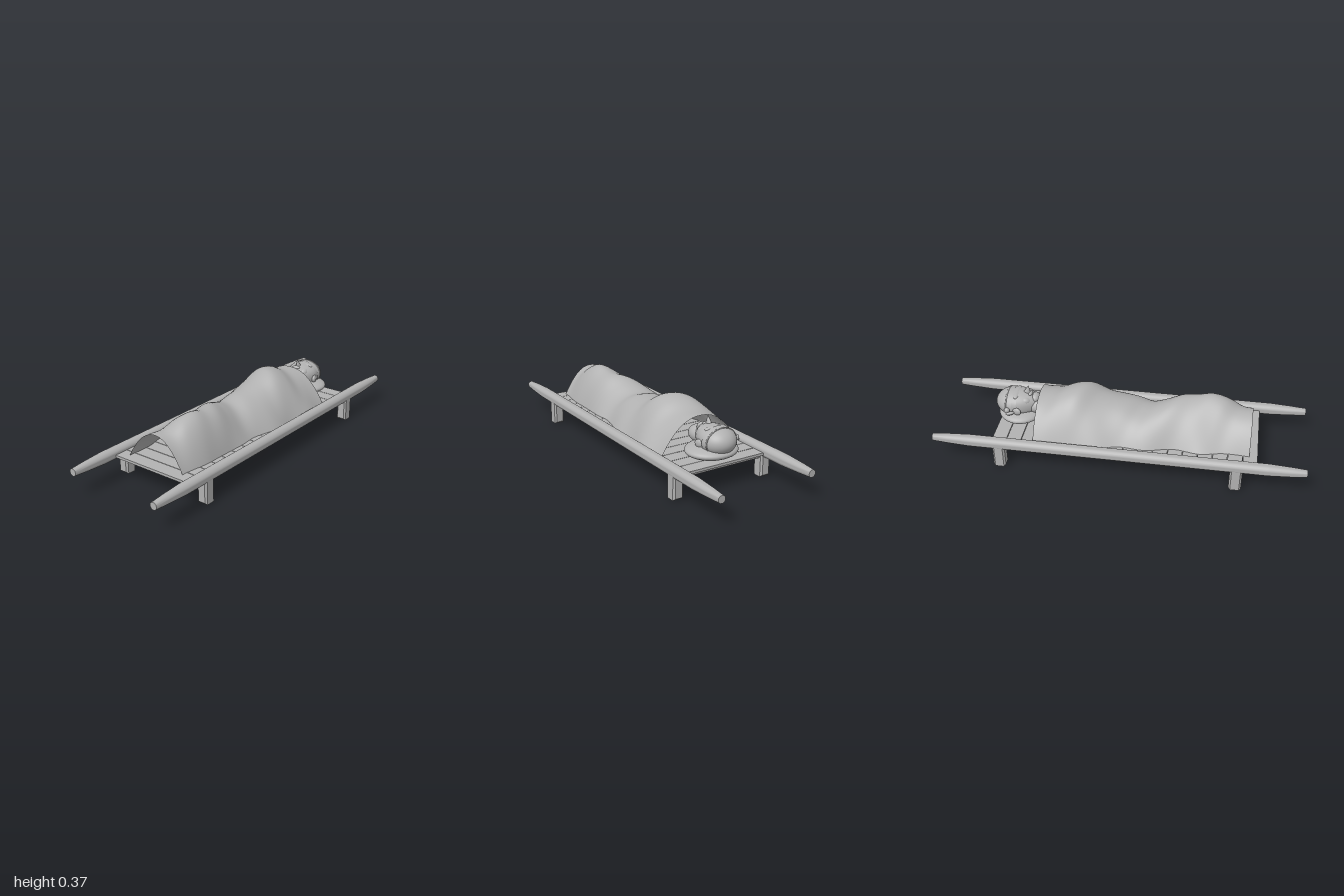
import * as THREE from 'three';
import { toCreasedNormals } from 'three/addons/utils/BufferGeometryUtils.js';

export function createModel() {
  const root = new THREE.Group();
  root.name = 'stretcher';
  const grey = new THREE.MeshStandardMaterial({ color: 0xb2b2b2, side: THREE.DoubleSide });
  grey.name = 'plain grey';

  function add(name, geo, x = 0, y = 0, z = 0, parent = root) {
    const m = new THREE.Mesh(geo, grey);
    m.name = name;
    m.position.set(x, y, z);
    parent.add(m);
    return m;
  }
  const ball = (rx, ry, rz) => new THREE.SphereGeometry(1, 32, 24).scale(rx, ry, rz);

  // Carrying poles with tapered ends
  const poleProfile = [[0, -1], [0.02, -1], [0.026, -0.92], [0.032, -0.8],
    [0.032, 0.8], [0.026, 0.92], [0.02, 1], [0, 1]].map(p => new THREE.Vector2(...p));
  const poleGeo = toCreasedNormals(new THREE.LatheGeometry(poleProfile, 24).rotateX(Math.PI / 2), 0.6);

  // Legs: chamfered outline, bevelled all round
  const legShape = new THREE.Shape();
  [[-0.02, 0.01], [0.02, 0.01], [0.02, 0.135], [-0.02, 0.135]]
    .forEach(([x, y], i) => (i ? legShape.lineTo(x, y) : legShape.moveTo(x, y)));
  const legGeo = new THREE.ExtrudeGeometry(legShape, {
    depth: 0.046, bevelEnabled: true, bevelThickness: 0.01, bevelSize: 0.009, bevelSegments: 1,
  }).translate(0, -0.001, -0.023);

  for (const s of [-1, 1]) {
    const side = s > 0 ? 'left' : 'right';
    add(side + 'Pole', poleGeo, s * 0.265, 0.138, 0);
    add(side + 'FrontLeg', legGeo, s * 0.265, 0, 0.637);
    add(side + 'BackLeg', legGeo, s * 0.265, 0, -0.632);
  }

  // Cross bars between the legs
  for (const z of [0.637, -0.632]) {
    add('crossBar', new THREE.CylinderGeometry(0.021, 0.021, 0.52, 20).rotateZ(Math.PI / 2), 0, 0.117, z);
  }

  // Slatted bed
  const pitch = 1.425 / 18;
  for (let i = 0; i < 18; i++) {
    add('slat', new THREE.BoxGeometry(0.48, 0.014, pitch - 0.003), 0, 0.133, -0.68 + pitch * (i + 0.5));
  }

  // Blanket: arched cross-sections following the body's height, with slanted folds
  const heights = [0.315, 0.322, 0.358, 0.369, 0.33, 0.308, 0.295, 0.276,
    0.302, 0.333, 0.338, 0.356, 0.342, 0.302, 0.3];
  const z0 = -0.455, z1 = 0.7;
  const ridge = new THREE.CatmullRomCurve3(heights.map(h => new THREE.Vector3(0, h, 0)), false, 'catmullrom', 0.5);
  const bump = (z, c, r) => Math.exp(-(((z - c) / r) ** 2));
  const blanket = new THREE.PlaneGeometry(1, 1, 48, 90);
  const pos = blanket.attributes.position;
  for (let i = 0; i < pos.count; i++) {
    const u = pos.getX(i) * 2;
    const z = z0 + (0.5 - pos.getY(i)) * (z1 - z0);
    const s = Math.sin(u * Math.PI / 2);
    const narrowing = THREE.MathUtils.smoothstep(z, -0.3, 0.35);
    const w = 0.247 - 0.048 * narrowing - 0.017 * THREE.MathUtils.smoothstep(z, 0.5, 0.7)
      + 0.004 * Math.sin(z * 19 + s);
    const knee = bump(z, 0.43, 0.16);
    const x = w * s + 0.05 * knee * (1 - s * s);
    const t = THREE.MathUtils.clamp((z - 0.4 * x - z0) / (z1 - z0), 0, 1);
    const base = 0.122 + 0.012 * Math.sin(z * 23 + 2 * s);
    const y = base + (ridge.getPoint(t).y - base) * (1 - Math.abs(s) ** (2.15 - 0.4 * knee));
    pos.setXYZ(i, x, y, z);
  }
  blanket.computeVertexNormals();
  add('blanket', blanket);

  // Pillow
  add('pillow', ball(0.14, 0.038, 0.125), 0.01, 0.178, -0.57);

  // Head lying face up, crown toward the back
  const head = new THREE.Group();
  head.name = 'head';
  root.add(head);
  const skull = ball(1, 1, 1);
  const sp = skull.attributes.position;
  for (let i = 0; i < sp.count; i++) {
    const [x, y, z] = [sp.getX(i), sp.getY(i), sp.getZ(i)];
    const jaw = 1 - 0.22 * THREE.MathUtils.smoothstep(z, -0.2, 0.9);
    sp.setXYZ(i, x * 0.09 * jaw, Math.sign(y) * Math.abs(y) ** 0.85 * 0.07, z * 0.122);
  }
  skull.computeVertexNormals();
  add('skull', skull, 0, 0.235, -0.577, head);
  add('neck', ball(0.06, 0.047, 0.08), 0, 0.225, -0.47, head);
  add('chin', ball(0.036, 0.026, 0.026), 0, 0.268, -0.485, head);
  add('lips', ball(0.024, 0.01, 0.012), 0, 0.294, -0.512, head);
  add('brow', ball(0.062, 0.016, 0.022), 0, 0.29, -0.585, head);

  // Nose: a wedge rising toward its tip
  const nose = new THREE.ConeGeometry(0.018, 0.06, 12, 4);
  const np = nose.attributes.position;
  for (let i = 0; i < np.count; i++) np.setZ(i, np.getZ(i) * 1.5 + (np.getY(i) + 0.03) * 0.25);
  nose.computeVertexNormals();
  add('nose', nose, 0, 0.313, -0.536, head);

  for (const s of [-1, 1]) {
    add('eye', ball(0.015, 0.008, 0.01), s * 0.031, 0.288, -0.557, head);
    add('cheek', ball(0.026, 0.022, 0.032), s * 0.038, 0.268, -0.535, head);
    add('ear', ball(0.012, 0.022, 0.027), s * 0.087, 0.224, -0.575, head).rotation.y = s * 0.3;
  }

  // Hair over the crown, a band at its edge and a tied knot
  const hair = new THREE.SphereGeometry(1, 32, 16, 0, Math.PI * 2, 0, Math.PI / 2)
    .rotateX(-Math.PI / 2).scale(0.094, 0.073, 0.103);
  add('hair', hair, 0, 0.235, -0.602, head);
  add('headband', new THREE.TorusGeometry(1, 0.045, 8, 40).scale(0.089, 0.069, 0.1), 0, 0.235, -0.635, head);
  add('knot', ball(0.014, 0.016, 0.016), -0.1, 0.235, -0.625, head);
  add('knotTail', ball(0.012, 0.009, 0.024), -0.107, 0.222, -0.607, head).rotation.y = 0.5;

  return root;
}
